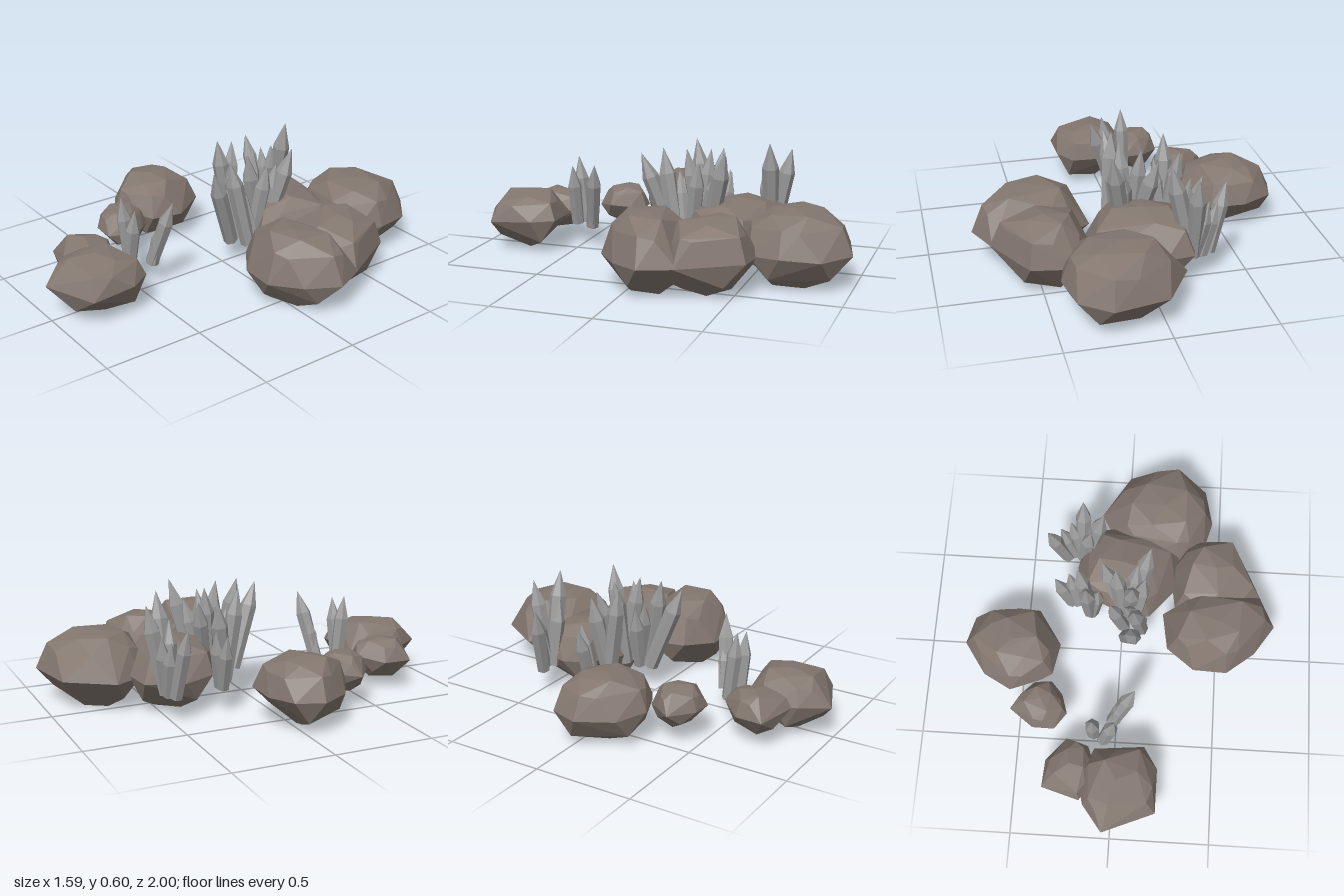
import * as THREE from 'three';
import { ConvexGeometry } from 'three/addons/geometries/ConvexGeometry.js';

// Boulders: plan outline [x, z] at the widest level, with top and optional bottom height and foot size
const WAIST = 0.167;
const ROCKS = [
  { name: 'backBoulder', high: 0.36, plan: [[0, -0.94], [0.27, -1], [0.41, -0.88], [0.45, -0.69], [0.41, -0.54], [0.28, -0.47], [0.08, -0.48], [-0.06, -0.57], [-0.14, -0.71]] },
  { name: 'middleBoulder', high: 0.34, plan: [[-0.25, -0.4], [-0.21, -0.6], [-0.06, -0.63], [0.28, -0.48], [0.27, -0.3], [0.14, -0.14], [-0.05, -0.17], [-0.22, -0.25]] },
  { name: 'rightBoulder', high: 0.355, plan: [[0.34, -0.58], [0.57, -0.57], [0.64, -0.4], [0.72, -0.27], [0.5, -0.1], [0.27, -0.2], [0.24, -0.4]] },
  { name: 'frontRightBoulder', high: 0.37, plan: [[0.21, -0.16], [0.38, -0.27], [0.71, -0.29], [0.79, -0.12], [0.69, 0.03], [0.55, 0.14], [0.38, 0.135], [0.24, 0.03]] },
  { name: 'leftBoulder', high: 0.33, foot: 0.22, plan: [[-0.61, -0.14], [-0.43, -0.14], [-0.31, 0.04], [-0.34, 0.2], [-0.42, 0.25], [-0.55, 0.3], [-0.69, 0.22], [-0.8, 0.06], [-0.76, -0.08]] },
  { name: 'leftPebble', high: 0.27, low: 0.08, plan: [[-0.43, 0.25], [-0.34, 0.24], [-0.28, 0.31], [-0.25, 0.41], [-0.31, 0.49], [-0.42, 0.49], [-0.54, 0.4], [-0.49, 0.32]] },
  { name: 'frontPebble', high: 0.26, low: 0.06, plan: [[-0.24, 0.54], [-0.13, 0.57], [-0.08, 0.71], [-0.16, 0.85], [-0.35, 0.79], [-0.34, 0.65]] },
  { name: 'frontBoulder', high: 0.3, foot: 0.2, plan: [[-0.1, 0.58], [0.15, 0.56], [0.22, 0.67], [0.22, 0.89], [-0.04, 1], [-0.14, 0.87], [-0.17, 0.76]] },
];

// Crystals: base x, base z, tip x, tip y, tip z
const CLUSTERS = {
  backLeftCrystals: [
    [-0.31, -0.48, -0.4, 0.47, -0.45],
    [-0.27, -0.5, -0.34, 0.4, -0.51],
    [-0.24, -0.5, -0.29, 0.42, -0.54],
    [-0.23, -0.5, -0.225, 0.56, -0.59],
    [-0.22, -0.49, -0.115, 0.6, -0.5],
    [-0.23, -0.48, -0.18, 0.47, -0.46],
  ],
  middleLeftCrystals: [
    [-0.27, -0.22, -0.35, 0.4, -0.23],
    [-0.24, -0.22, -0.28, 0.41, -0.26],
    [-0.17, -0.17, -0.23, 0.54, -0.23],
    [-0.17, -0.17, -0.18, 0.59, -0.1],
    [-0.16, -0.17, -0.12, 0.48, -0.14],
  ],
  middleCrystals: [
    [0.0, -0.2, -0.11, 0.52, -0.28],
    [0.0, -0.18, -0.04, 0.57, -0.22],
    [0.03, -0.2, 0.05, 0.58, -0.12],
    [0.05, -0.23, 0.13, 0.59, -0.34],
    [0.03, -0.2, 0.07, 0.5, -0.29],
    [0.06, -0.15, 0.11, 0.53, -0.2],
    [0.01, -0.1, -0.06, 0.45, -0.08],
    [0.1, -0.13, 0.01, 0.46, -0.07],
    [0.1, -0.09, 0.06, 0.58, 0.0],
    [0.02, -0.04, 0.08, 0.55, 0.11],
  ],
  frontCrystals: [
    [-0.11, 0.49, -0.11, 0.47, 0.53],
    [-0.06, 0.52, 0.0, 0.44, 0.52],
    [-0.02, 0.42, 0.09, 0.47, 0.36],
    [-0.01, 0.42, 0.03, 0.36, 0.385],
  ],
};

// Repeatable offset between -1 and 1
const wobble = (n) => {
  const s = Math.sin(n * 12.9898) * 43758.5453;
  return 2 * (s - Math.floor(s)) - 1;
};

// Faceted boulder: waist outline, in-between shoulders, and small top and bottom facets
function boulder({ plan, high, low = 0, foot = 0.45 }, seed) {
  const n = plan.length;
  const cx = plan.reduce((s, p) => s + p[0], 0) / n;
  const cz = plan.reduce((s, p) => s + p[1], 0) / n;
  const up = high - WAIST, down = WAIST - low;
  const points = [];
  const add = ([x, z], scale, y) =>
    points.push(new THREE.Vector3(cx + (x - cx) * scale, y, cz + (z - cz) * scale));
  add([cx, cz], 1, high);
  plan.forEach((p, i) => {
    const q = plan[(i + 1) % n];
    const between = [(p[0] + q[0]) / 2, (p[1] + q[1]) / 2];
    const w = wobble(seed * 17 + i);
    add(p, 1, WAIST + 0.012 * w);
    if (i % 2 === 0) {
      add(between, 0.87 + 0.05 * w, WAIST + up * 0.6);
      add(p, 0.52, high - up * 0.07 * (1 + w));
      add(p, foot, low);
    } else {
      add(p, 0.8 + 0.05 * w, WAIST + up * 0.68);
      add(between, 0.84 + 0.04 * w, WAIST - down * 0.66);
    }
  });
  return new ConvexGeometry(points);
}

// Six-sided prism with a pointed end, aimed from base to tip; taller ones are thicker
function crystal([bx, bz, tx, ty, tz], material, turn) {
  const base = new THREE.Vector3(bx, 0.12, bz);
  const axis = new THREE.Vector3(tx, ty, tz).sub(base);
  const length = axis.length();
  const r = 0.025 + 0.037 * length;
  const profile = [[0, 0], [r * 0.88, 0], [r, length - r * 3.1], [0, length]];
  const geometry = new THREE.LatheGeometry(profile.map((p) => new THREE.Vector2(...p)), 6).toNonIndexed();
  geometry.computeVertexNormals();
  geometry.rotateY(turn);
  const mesh = new THREE.Mesh(geometry, material);
  mesh.name = 'crystal';
  mesh.position.copy(base);
  mesh.quaternion.setFromUnitVectors(new THREE.Vector3(0, 1, 0), axis.normalize());
  return mesh;
}

export function createModel() {
  const model = new THREE.Group();
  model.name = 'crystalRocks';
  const stone = new THREE.MeshStandardMaterial({ color: 0x83776f });
  stone.name = 'brown stone';
  const quartz = new THREE.MeshStandardMaterial({ color: 0x9b9b9b });
  quartz.name = 'grey crystal';

  ROCKS.forEach((rock, i) => {
    const mesh = new THREE.Mesh(boulder(rock, i + 1), stone);
    mesh.name = rock.name;
    model.add(mesh);
  });

  Object.entries(CLUSTERS).forEach(([name, list]) => {
    const cluster = new THREE.Group();
    cluster.name = name;
    list.forEach((c, i) => cluster.add(crystal(c, quartz, wobble(i + 3))));
    model.add(cluster);
  });
  return model;
}
